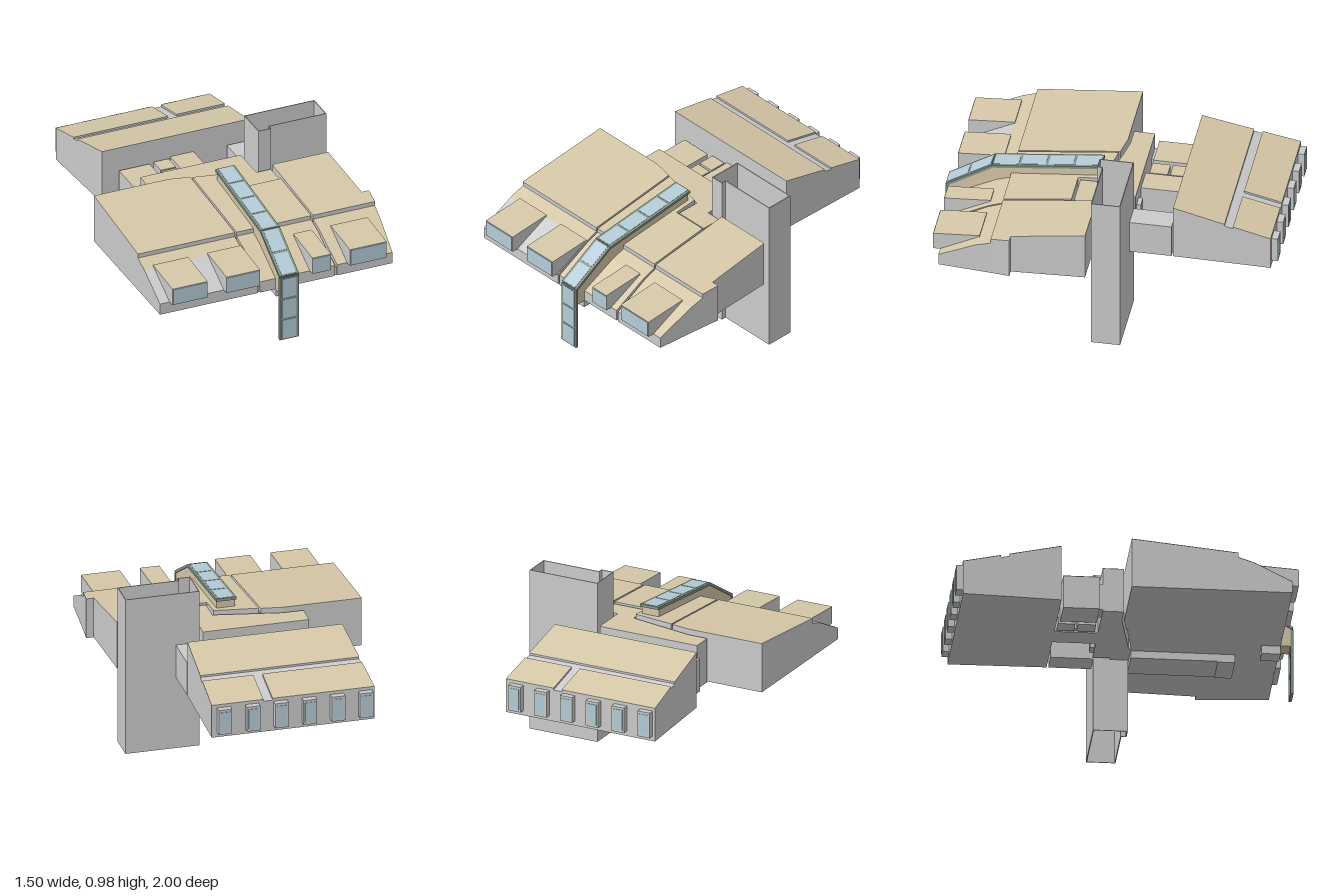
import * as THREE from 'three';

const mat = (color) => new THREE.MeshStandardMaterial({ color, side: THREE.DoubleSide });
const grey = mat(0xcccccc), tan = mat(0xd6c8a8), glass = mat(0xb4ccd8), green = mat(0x85968a);

export function createModel() {
  const model = new THREE.Group();
  const add = (name, geometry, material) => {
    const mesh = new THREE.Mesh(geometry, material);
    mesh.name = name;
    model.add(mesh);
    return mesh;
  };
  const box = (name, x0, x1, y0, y1, z0, z1, material = grey) =>
    add(name, new THREE.BoxGeometry(x1 - x0, y1 - y0, z1 - z0), material)
      .position.set((x0 + x1) / 2, (y0 + y1) / 2, (z0 + z1) / 2);

  // Footprint given as [x, z] corners
  const plan = (pts) => new THREE.Shape(pts.map(([x, z]) => new THREE.Vector2(x, -z)));

  // Walls over a footprint whose top follows a height rule in z, with an optional roof sheet
  const block = (name, pts, top, roof = tan, bottom = () => 0.45) => {
    const walls = new THREE.ExtrudeGeometry(plan(pts), { depth: 1, bevelEnabled: false }).rotateX(-Math.PI / 2);
    const p = walls.attributes.position;
    for (let i = 0; i < p.count; i++) p.setY(i, p.getY(i) < 0.5 ? bottom(p.getZ(i)) : top(p.getZ(i)));
    walls.computeVertexNormals();
    add(name + 'Walls', walls, grey);
    if (!roof) return;
    const sheet = new THREE.ShapeGeometry(plan(pts)).rotateX(-Math.PI / 2);
    const s = sheet.attributes.position;
    for (let i = 0; i < s.count; i++) s.setY(i, top(s.getZ(i)) + 0.002);
    sheet.computeVertexNormals();
    add(name + 'Roof', sheet, roof);
  };
  const lerp = THREE.MathUtils.lerp;
  const ramp = (z0, y0, z1, y1) => (z) => lerp(y0, y1, (z - z0) / (z1 - z0));
  const flat = (y) => () => y;

  // Front building: three roof sections, each with an upper slope, a lip and a steep eave
  const upper = ramp(0, 0.75, 0.61, 0.688);
  const lip = ramp(0.61, 0.66, 0.7, 0.63);
  const eave = ramp(0.7, 0.63, 0.92, 0.52);
  const sections = [
    { name: 'rightSection', eaveRoof: grey, left: [-0.75, -0.75], right: [-0.142, -0.135],
      back: [[-0.75, -0.005], [-0.28, -0.005], [-0.157, 0.018]] },
    { name: 'middleSection', eaveRoof: tan, left: [-0.13, -0.122], right: [0.338, 0.347],
      back: [[-0.145, 0.025], [0.11, 0.072], [0.11, 0.215], [0.325, 0.215]] },
    { name: 'leftSection', eaveRoof: tan, left: [0.35, 0.362], right: [0.738, 0.71],
      back: [[0.335, 0.07], [0.685, 0.07], [0.705, 0.5], [0.75, 0.5]] },
  ];
  for (const { name, eaveRoof, left, right, back } of sections) {
    const at = (edge, z) => [lerp(edge[0], edge[1], (z - 0.61) / 0.31), z];
    const strip = (z0, z1) => [at(left, z0), at(right, z0), at(right, z1), at(left, z1)];
    block(name, [...back, at(right, 0.61), at(left, 0.61)], upper);
    block(name + 'Lip', strip(0.61, 0.7), lip);
    block(name + 'Eave', strip(0.7, 0.92), eave, eaveRoof);
  }

  // Grey filling at the bottom of the seams between sections
  for (const [x0, x1, z0] of [[-0.16, -0.115, 0.03], [0.32, 0.37, 0.21]]) {
    block('seamBack', [[x0, z0], [x1, z0], [x1, 0.61], [x0, 0.61]], (z) => upper(z) - 0.03, null);
    block('seamFront', [[x0, 0.61], [x1, 0.61], [x1, 0.91], [x0, 0.91]], ramp(0.61, 0.64, 0.91, 0.5), null);
  }

  // Dormer windows in the eave
  for (const [x0, x1] of [[-0.69, -0.47], [-0.35, -0.14], [0.19, 0.305], [0.425, 0.655]]) {
    block('dormer', [[x0, 0.69], [x1, 0.69], [x1, 0.96], [x0, 0.96]],
      ramp(0.69, 0.643, 0.96, 0.625), tan, flat(0.52));
    box('dormerGlass', x0 + 0.005, x1 - 0.005, 0.523, 0.62, 0.955, 0.963, glass);
  }

  // Skylight spine: a solid bent body under framed panes
  const spine = new THREE.Shape([[0.1, 0.7], [0.1, 0.795], [0.72, 0.722], [0.98, 0.56], [0.98, 0.45], [0.9, 0.45],
    [0.9, 0.52], [0.61, 0.64]].map(([z, y]) => new THREE.Vector2(z, y)));
  add('skylightBody', new THREE.ExtrudeGeometry(spine, { depth: 0.11, bevelEnabled: false })
    .rotateY(-Math.PI / 2).translate(0.085, 0, 0), tan);
  const pane = (z0, y0, z1, y1) => {
    const length = Math.hypot(z1 - z0, y1 - y0);
    const part = new THREE.Group();
    part.name = 'skylightPane';
    const frame = new THREE.Mesh(new THREE.BoxGeometry(0.12, 0.016, length), green);
    const light = new THREE.Mesh(new THREE.BoxGeometry(0.09, 0.02, length - 0.014), glass);
    frame.name = 'paneFrame';
    light.name = 'paneGlass';
    part.add(frame, light);
    part.position.set(0.03, (y0 + y1) / 2, (z0 + z1) / 2);
    part.rotation.x = Math.atan2(y0 - y1, z1 - z0);
    model.add(part);
  };
  const run = (n, z0, y0, z1, y1) => {
    for (let i = 0; i < n; i++)
      pane(lerp(z0, z1, i / n), lerp(y0, y1, i / n), lerp(z0, z1, (i + 1) / n), lerp(y0, y1, (i + 1) / n));
  };
  run(4, 0.085, 0.798, 0.72, 0.725);
  run(2, 0.72, 0.725, 0.988, 0.562);
  run(3, 0.985, 0.555, 0.985, 0.15);

  // Middle link between the two buildings
  block('link', [[-0.4, -0.14], [0.23, -0.14], [0.23, 0.08], [0.32, 0.08], [0.32, 0.2], [0.12, 0.2],
    [0.12, 0.06], [-0.28, -0.018], [-0.4, -0.018]], flat(0.72));
  const rect = (x0, x1, z0, z1) => [[x0, z0], [x1, z0], [x1, z1], [x0, z1]];
  block('corridor', rect(-0.1, 0.045, -0.39, -0.14), flat(0.655));
  block('sideRoom', rect(-0.43, -0.24, -0.37, -0.16), flat(0.65));
  block('smallRoom', rect(-0.21, -0.115, -0.38, -0.28), flat(0.65));
  block('smallRoom', rect(-0.21, -0.115, -0.265, -0.16), flat(0.65));
  block('towerRoom', rect(0.25, 0.39, -0.38, -0.135), flat(0.655), null);
  box('roomJoint', -0.4, -0.29, 0.46, 0.62, -0.165, -0.13);
  box('roomJoint', -0.13, -0.095, 0.46, 0.62, -0.36, -0.18);
  box('roomJoint', 0.12, 0.19, 0.46, 0.64, -0.165, -0.13);
  box('linkJoint', 0.1, 0.34, 0.45, 0.66, 0.05, 0.23);
  box('towerJoint', 0.22, 0.26, 0.45, 0.66, -0.04, 0.06);

  // Tower: an open shaft with a floor inside
  const shaft = plan([[0.25, 0.065], [0.33, 0.065], [0.33, 0.035], [0.69, 0.035], [0.69, -0.135], [0.25, -0.135]]);
  shaft.holes.push(plan([[0.255, 0.06], [0.325, 0.06], [0.325, 0.03], [0.685, 0.03], [0.685, -0.13], [0.255, -0.13]]));
  add('tower', new THREE.ExtrudeGeometry(shaft, { depth: 0.98, bevelEnabled: false }).rotateX(-Math.PI / 2), grey);
  box('towerFloor', 0.252, 0.688, 0.45, 0.46, -0.133, 0.033);
  box('towerFloorNiche', 0.252, 0.328, 0.45, 0.46, 0.03, 0.063);

  // Rear building with grooved sloping roof
  const rear = ramp(-0.39, 0.79, -0.96, 0.655);
  const west = ramp(-0.39, -0.53, -0.96, -0.565), east = ramp(-0.39, 0.39, -0.96, 0.402);
  const sunk = (z) => rear(z) - 0.012;
  const quad = (z0, z1, a, b) => [[a(z0), z0], [b(z0), z0], [b(z1), z1], [a(z1), z1]];
  block('rearBuilding', quad(-0.96, -0.39, west, east), sunk, null);
  block('rearUpper', quad(-0.69, -0.39, west, east), rear, tan, sunk);
  block('rearLower', quad(-0.96, -0.74, west, flat(0.04)), rear, tan, sunk);
  block('rearLower', quad(-0.96, -0.74, flat(0.095), east), rear, tan, sunk);

  // Bay windows along the rear wall
  for (let i = 0; i < 6; i++) {
    const x = -0.51 + i * 0.168;
    box('rearBay', x - 0.04, x + 0.04, 0.48, 0.635, -0.997, -0.95);
    box('rearBayGlass', x - 0.03, x + 0.03, 0.495, 0.62, -1, -0.99, glass);
  }

  // Low boxes under the floor
  box('underBox', 0.12, 0.335, 0.405, 0.45, 0.07, 0.57);
  box('underBoxFront', 0.12, 0.335, 0.4, 0.45, 0.57, 0.67);
  box('underBoxSkylight', -0.02, 0.08, 0.4, 0.45, 0.81, 0.92);
  return model;
}
